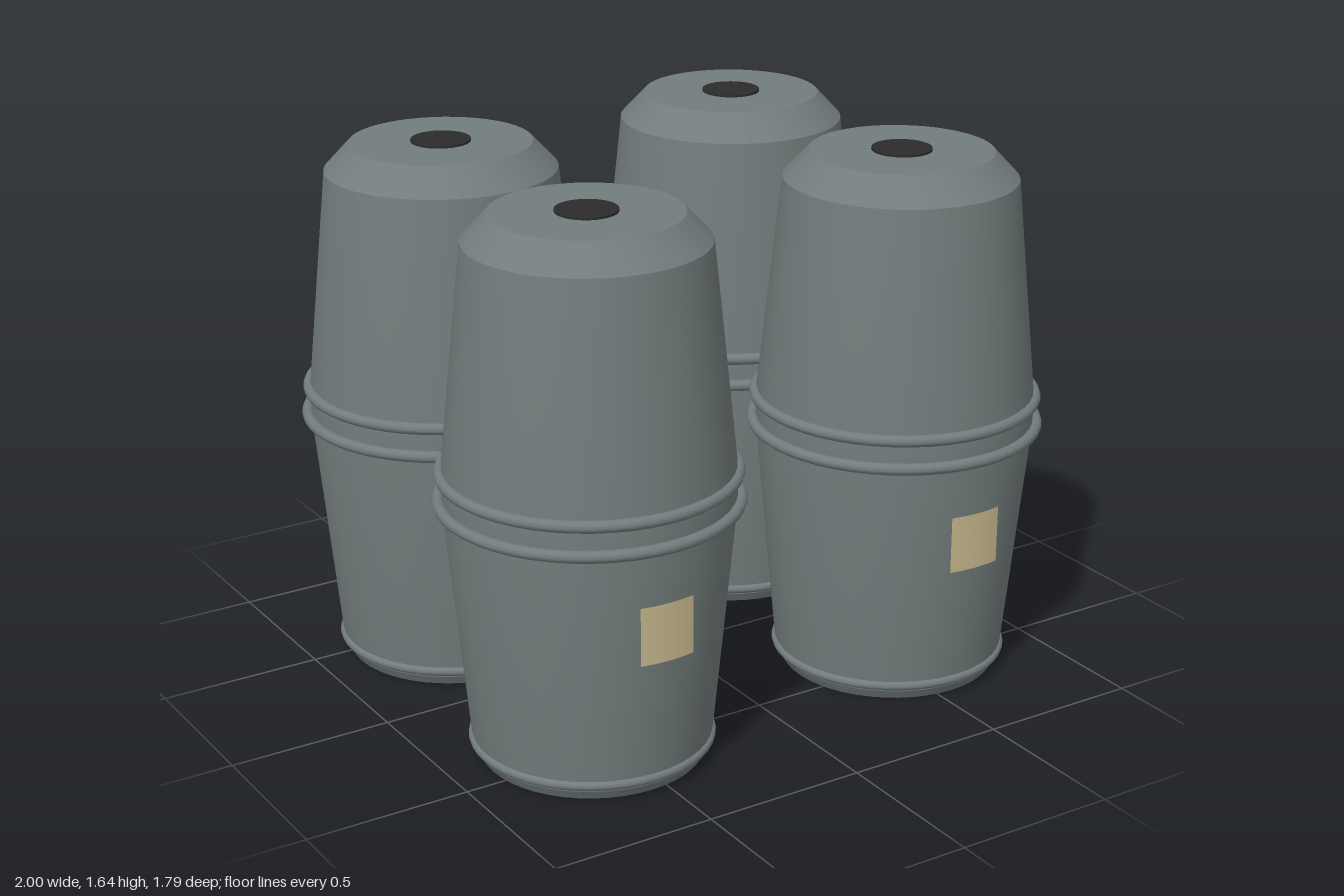
import * as THREE from 'three';
import { toCreasedNormals } from 'three/addons/utils/BufferGeometryUtils.js';

const SEGMENTS = 48;

function material(name, color) {
  const m = new THREE.MeshStandardMaterial({ color });
  m.name = name;
  return m;
}

export function createModel() {
  const grey = material('barrel grey', 0x737d7d);
  const black = material('bung black', 0x2c2c2c);
  const tan = material('label tan', 0xc6b68c);
  tan.side = THREE.DoubleSide;

  // Barrel shell: closed profile from base centre to lid centre
  const profile = [
    [0, 0], [0.33, 0], [0.347, 0.03], [0.354, 0.08], [0.42, 0.78],
    [0.42, 0.88], [0.35, 1.55], [0.275, 1.63], [0, 1.63],
  ].map(([r, y]) => new THREE.Vector2(r, y));
  const bodyGeo = toCreasedNormals(new THREE.LatheGeometry(profile, SEGMENTS), 0.35);

  // Raised hoops: radius, height, thickness
  const hoops = [
    ['baseHoop', 0.347, 0.05, 0.015],
    ['lowerHoop', 0.43, 0.79, 0.018],
    ['upperHoop', 0.423, 0.875, 0.018],
  ].map(([name, radius, y, tube]) => ({
    name, y, geo: new THREE.TorusGeometry(radius, tube, 10, SEGMENTS).rotateX(Math.PI / 2),
  }));

  // Thin round bung and a curved paper label on the front
  const bungGeo = new THREE.CylinderGeometry(0.09, 0.09, 0.008, 32);
  const labelGeo = new THREE.CylinderGeometry(0.42, 0.42, 0.175, 8, 1, true, -0.205, 0.41);

  function add(group, name, geo, mat, y = 0) {
    const mesh = new THREE.Mesh(geo, mat);
    mesh.name = name;
    mesh.position.y = y;
    group.add(mesh);
  }

  const model = new THREE.Group();
  model.name = 'barrels';

  // Four barrels standing in a loose square
  const spots = [[-0.55, -0.41], [0.51, -0.45], [-0.55, 0.44], [0.55, 0.4]];
  spots.forEach(([x, z], i) => {
    const barrel = new THREE.Group();
    barrel.name = `barrel${i + 1}`;
    barrel.position.set(x, 0, z);
    add(barrel, 'barrelBody', bodyGeo, grey);
    hoops.forEach((h) => add(barrel, h.name, h.geo, grey, h.y));
    add(barrel, 'bung', bungGeo, black, 1.633);
    add(barrel, 'label', labelGeo, tan, 0.532);
    model.add(barrel);
  });
  return model;
}
